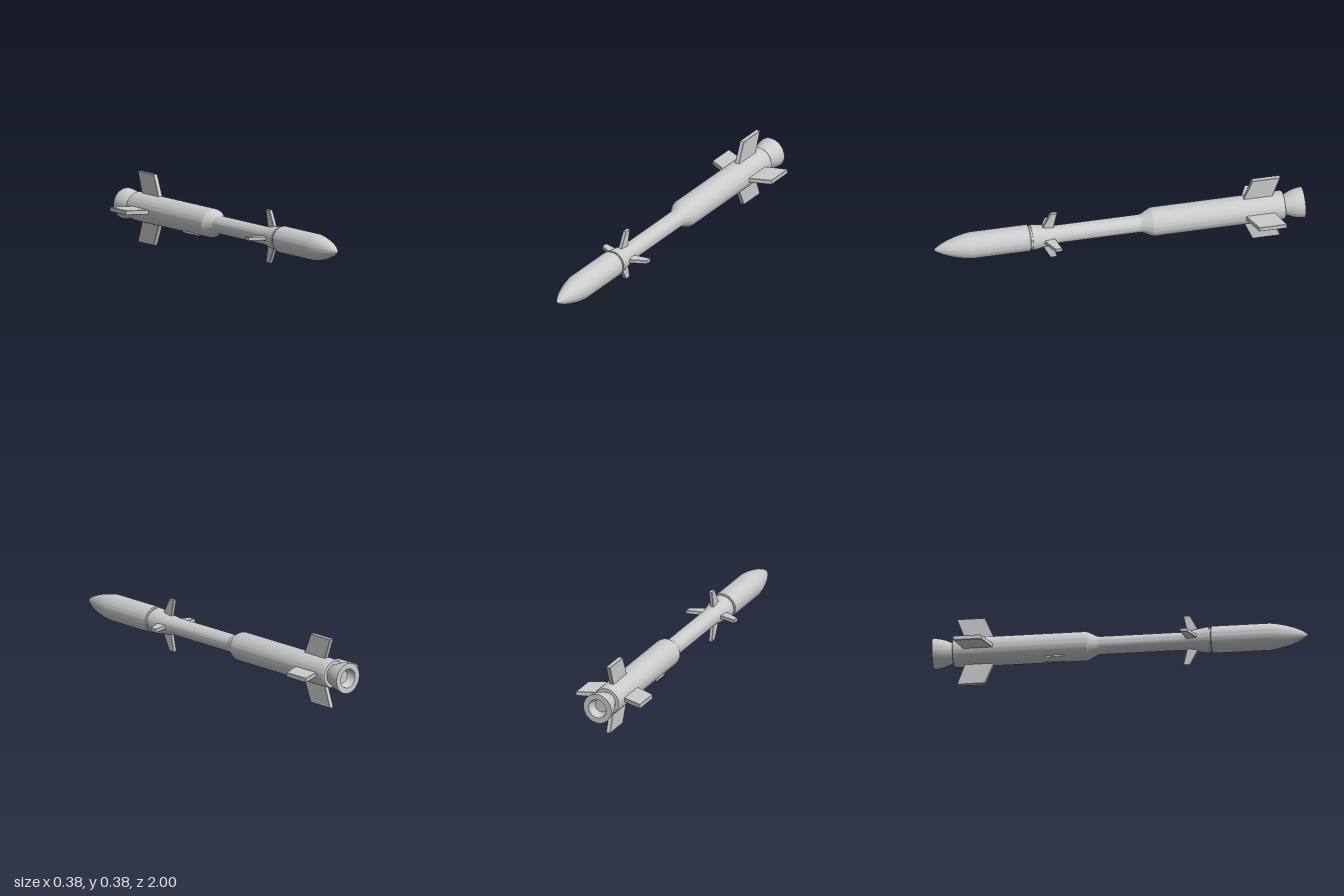
import * as THREE from 'three';
import { toCreasedNormals } from 'three/addons/utils/BufferGeometryUtils.js';

const AXIS_Y = 0.19;
const material = new THREE.MeshStandardMaterial({ color: 0xcccccc });

// Turned part along z; profile is [radius, z] from back to front
function turned(name, profile) {
  const points = profile.map(([r, z]) => new THREE.Vector2(r, z));
  const geometry = new THREE.LatheGeometry(points, 64).rotateX(Math.PI / 2);
  const mesh = new THREE.Mesh(toCreasedNormals(geometry, 0.3), material);
  mesh.name = name;
  return mesh;
}

// Four fins around the axis; outline is [z, radius]
function finSet(name, outline, thickness) {
  const group = new THREE.Group();
  group.name = name + 's';
  const bevel = 0.002;
  const shape = new THREE.Shape(outline.map(([z, r]) => new THREE.Vector2(z, r)));
  const geometry = new THREE.ExtrudeGeometry(shape, {
    depth: thickness - 2 * bevel, bevelEnabled: true,
    bevelThickness: bevel, bevelSize: bevel, bevelOffset: -bevel, bevelSegments: 1,
  });
  geometry.translate(0, 0, -(thickness - 2 * bevel) / 2).rotateY(-Math.PI / 2);
  for (let i = 0; i < 4; i++) {
    const fin = new THREE.Mesh(geometry, material);
    fin.name = name;
    fin.rotation.z = i * Math.PI / 2;
    group.add(fin);
  }
  return group;
}

export function createModel() {
  const model = new THREE.Group();
  model.name = 'missile';
  const body = new THREE.Group();
  body.name = 'airframe';
  body.position.y = AXIS_Y;
  model.add(body);

  // Pointed nose with its cylindrical section
  body.add(turned('nose', [
    [0, 0.485], [0.068, 0.485], [0.072, 0.49], [0.072, 0.80], [0.066, 0.84],
    [0.057, 0.88], [0.045, 0.92], [0.031, 0.955], [0.014, 0.985], [0.006, 0.996], [0, 1],
  ]));
  body.add(turned('noseJoint', [[0, 0.46], [0.064, 0.46], [0.064, 0.495], [0, 0.495]]));

  // Tapered collar, slim shaft and wide motor casing
  body.add(turned('fuselage', [
    [0, -0.893], [0.073, -0.893], [0.078, -0.885], [0.078, -0.188], [0.076, -0.175],
    [0.053, -0.13], [0.048, -0.115], [0.048, 0.32], [0.05, 0.345],
    [0.069, 0.465], [0.069, 0.475], [0, 0.475],
  ]));

  // Hollow flared exhaust nozzle
  body.add(turned('nozzle', [
    [0, -0.955], [0.036, -0.955], [0.043, -0.965], [0.049, -0.982], [0.052, -1],
    [0.083, -1], [0.0815, -0.98], [0.077, -0.955], [0.069, -0.93],
    [0.059, -0.908], [0.054, -0.895], [0.054, -0.88], [0, -0.88],
  ]));

  // Forward control fins and larger tail fins, swept back
  body.add(finSet('forwardFin', [[0.425, 0.035], [0.37, 0.143], [0.334, 0.143], [0.357, 0.035]], 0.02));
  body.add(finSet('tailFin', [[-0.67, 0.06], [-0.725, 0.19], [-0.875, 0.19], [-0.828, 0.06]], 0.025));

  // Shallow fairing with sloped ends under the casing
  const outline = new THREE.Shape([
    [-0.405, 0.06], [-0.405, 0.077], [-0.39, 0.085], [-0.305, 0.085], [-0.29, 0.077], [-0.29, 0.06],
  ].map(([z, r]) => new THREE.Vector2(z, r)));
  const fairing = new THREE.Mesh(
    new THREE.ExtrudeGeometry(outline, { depth: 0.04, bevelEnabled: false })
      .translate(0, 0, -0.02).rotateY(-Math.PI / 2),
    material);
  fairing.name = 'fairing';
  fairing.rotation.z = Math.PI - 0.35;
  body.add(fairing);

  return model;
}
